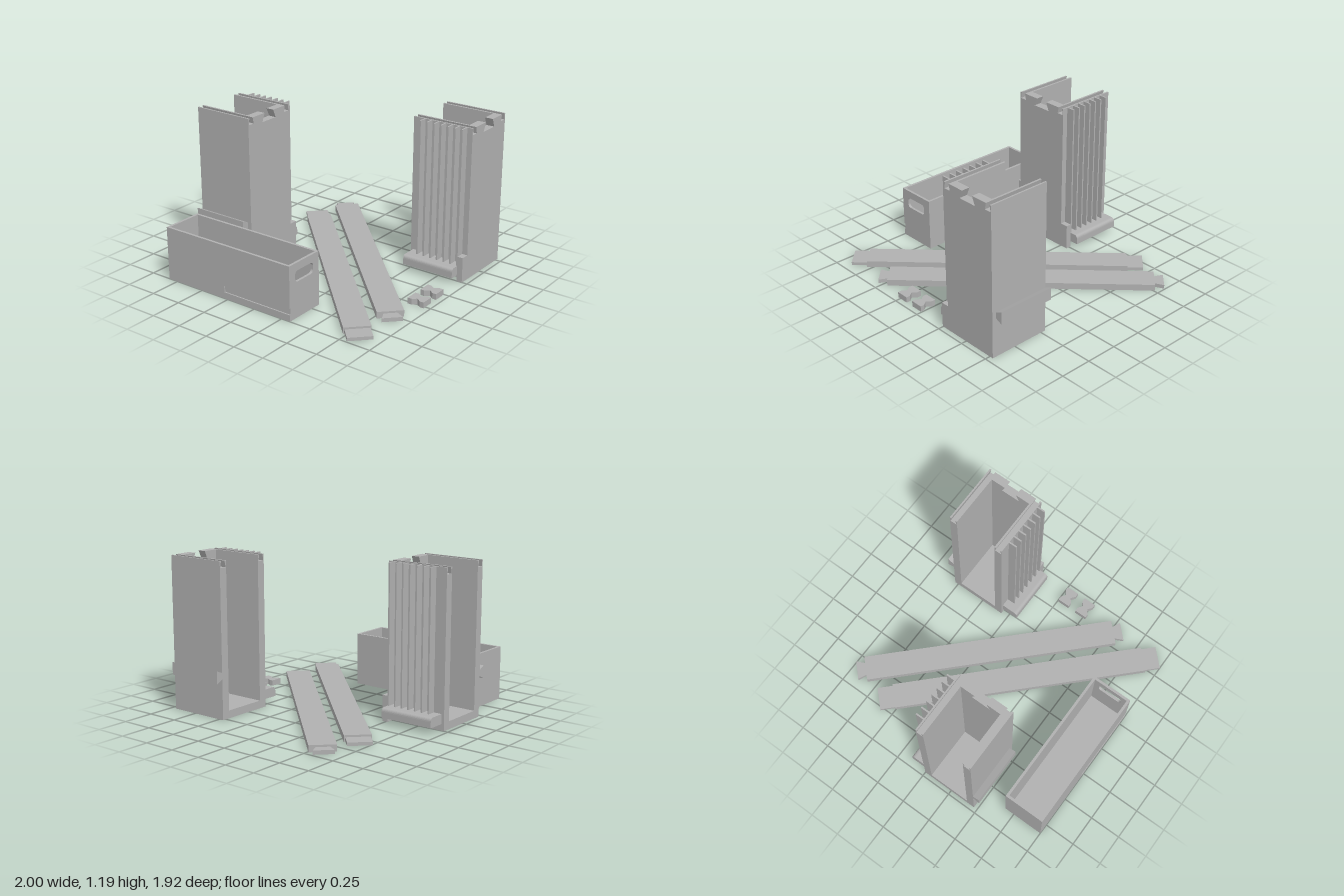
import * as THREE from 'three';

const grey = new THREE.MeshStandardMaterial({ color: 0xb0b0b0 });
grey.name = 'plain grey';

function add(parent, name, geometry) {
  const mesh = new THREE.Mesh(geometry, grey);
  mesh.name = name;
  parent.add(mesh);
  return mesh;
}

// Box given by its limits on each axis
function block(parent, name, [x0, x1], [y0, y1], [z0, z1]) {
  const mesh = add(parent, name, new THREE.BoxGeometry(Math.abs(x1 - x0), y1 - y0, z1 - z0));
  mesh.position.set((x0 + x1) / 2, (y0 + y1) / 2, (z0 + z1) / 2);
  return mesh;
}

const toShape = (points) => new THREE.Shape(points.map(([x, y]) => new THREE.Vector2(x, y)));

// Profile in x and y, drawn out from z0 to z1
function prism(parent, name, shape, z0, z1) {
  const geometry = new THREE.ExtrudeGeometry(shape, { depth: z1 - z0, bevelEnabled: false, curveSegments: 6 });
  return add(parent, name, geometry.translate(0, 0, z0));
}

// Outline in x and z, drawn up from y0 to y1
function plate(parent, name, points, y0, y1) {
  const shape = toShape(points.map(([x, z]) => [x, -z]));
  const geometry = new THREE.ExtrudeGeometry(shape, { depth: y1 - y0, bevelEnabled: false });
  return add(parent, name, geometry.rotateX(-Math.PI / 2).translate(0, y0, 0));
}

// Tall open-backed tower; s = 1 puts the fins on +x, s = -1 mirrors it
function createTower(s) {
  const tower = new THREE.Group();
  const H = 1.185, W = 0.235, T = 0.065, back = -0.497;
  const flip = (points) => toShape(points.map(([x, y]) => [x * s, y]));
  // dovetail groove along the top of a side wall, listed from -x to +x
  const groove = [[-0.222, H], [-0.23, H - 0.05], [-0.175, H - 0.05], [-0.186, H]];
  const mirrored = groove.map(([x, y]) => [-x, y]).reverse();
  const notch = [[-0.05, H], [-0.077, H - 0.065], [0.077, H - 0.065], [0.05, H]];

  prism(tower, 'frontWall', flip([[-W, 0], [-W, H], ...groove, ...notch, ...mirrored, [W, H], [W, 0]]), -T, 0);
  prism(tower, 'sideWall', flip([[-W, 0], [-W, H], ...groove, [T - W, H], [T - W, 0]]), back, -T);
  prism(tower, 'finnedWall', flip([[W - T, 0], [W - T, H], ...mirrored, [W, H], [W, 0]]), back, -T);
  block(tower, 'floor', [T - W, W - T], [0, 0.06], [back, -T]);

  // dovetail rail on the plain side
  prism(tower, 'rail', flip([[-W, 0.31], [-W, 0.36], [-0.29, 0.383], [-0.29, 0.285]]), back, -0.035);

  // fins, foot and rounded ledge on the other side
  for (let i = 0; i < 7; i++) {
    const z = -0.05 - i * 0.0587;
    block(tower, 'fin', [s * W, s * 0.3], [0.12, H], [z - 0.006, z + 0.006]);
  }
  block(tower, 'foot', [s * W, s * 0.3], [0, 0.2], [-0.045, 0]);
  const ledge = new THREE.Shape();
  ledge.moveTo(s * W, 0.05);
  ledge.lineTo(s * 0.372, 0.05);
  ledge.lineTo(s * 0.372, 0.095);
  ledge.quadraticCurveTo(s * 0.372, 0.125, s * 0.342, 0.125);
  ledge.lineTo(s * W, 0.125);
  prism(tower, 'ledge', ledge, -0.475, -0.045);
  return tower;
}

// Long open bin with a hand hole in the front and a shallow recess low on one side
function createBin() {
  const bin = new THREE.Group();
  const x0 = -1, x1 = -0.67, z0 = -0.83, z1 = 0.325, H = 0.42, T = 0.02;
  const front = toShape([[x0 + T, 0], [x1, 0], [x1, H], [x0 + T, H]]);
  const [a, b, c, d, r] = [-0.935, -0.735, 0.275, 0.36, 0.028];
  const hole = new THREE.Path();
  hole.absarc(b - r, c + r, r, -Math.PI / 2, 0);
  hole.absarc(b - r, d - r, r, 0, Math.PI / 2);
  hole.absarc(a + r, d - r, r, Math.PI / 2, Math.PI);
  hole.absarc(a + r, c + r, r, Math.PI, Math.PI * 1.5);
  hole.closePath();
  front.holes.push(hole);
  prism(bin, 'binFront', front, z1 - T, z1);
  block(bin, 'binBack', [x0 + T, x1], [0, H], [z0, z0 + T]);
  block(bin, 'binLeftWall', [x1 - T, x1], [0, H], [z0 + T, z1 - T]);
  block(bin, 'binFloor', [x0 + T, x1 - T], [0, T], [z0 + T, z1 - T]);
  // right wall, split around its recess
  block(bin, 'binRightWallBack', [x0, x0 + T], [0, H], [z0, -0.28]);
  block(bin, 'binRightWallTop', [x0, x0 + T], [0.1, H], [-0.28, z1]);
  block(bin, 'binRecess', [x0 + 0.01, x0 + T], [0.05, 0.1], [-0.28, z1]);
  block(bin, 'binRightWallBottom', [x0, x0 + T], [0, 0.05], [-0.28, z1]);
  return bin;
}

// Flat bar lying along its own x, with a tab on each end
function createBar(root, tip, length, y0, y1) {
  const bar = new THREE.Group();
  const L = 1.008;
  block(bar, 'barBody', [-L, L], [0, 0.05], [-0.098, 0.098]);
  for (const s of [-1, 1]) {
    plate(bar, 'barTab', [[s * L, -root], [s * (L + length), -tip], [s * (L + length), tip], [s * L, root]], y0, y1);
  }
  return bar;
}

export function createModel() {
  const model = new THREE.Group();
  const place = (part, name, x, z, turn = 0) => {
    part.name = name;
    part.position.set(x, 0, z);
    part.rotation.y = turn;
    model.add(part);
  };

  place(createTower(1), 'backTower', -0.235, -0.47);
  place(createTower(-1), 'frontTower', 0.545, 0.958);
  place(createBin(), 'bin', 0, 0);
  place(createBar(0.09, 0.09, 0.12, 0.01, 0.035), 'squareTabBar', -0.142, 0.083, Math.PI / 4);
  place(createBar(0.05, 0.075, 0.07, 0.005, 0.035), 'dovetailBar', 0.182, 0.134, Math.PI / 4);

  // loose bow-tie keys
  const half = [[-0.05, -0.067], [0.05, -0.067], [0.05, -0.035], [0.023, 0]];
  const key = [...half, ...half.map(([x, z]) => [-x, -z])];
  key.splice(4, 4, [0.05, 0.035], [0.05, 0.067], [-0.05, 0.067], [-0.05, 0.035], [-0.023, 0], [-0.05, -0.035]);
  for (const x of [-0.225, -0.058]) {
    const mesh = plate(model, 'bowTieKey', key, 0, 0.045);
    mesh.position.set(x, 0, 0.888);
  }
  return model;
}
